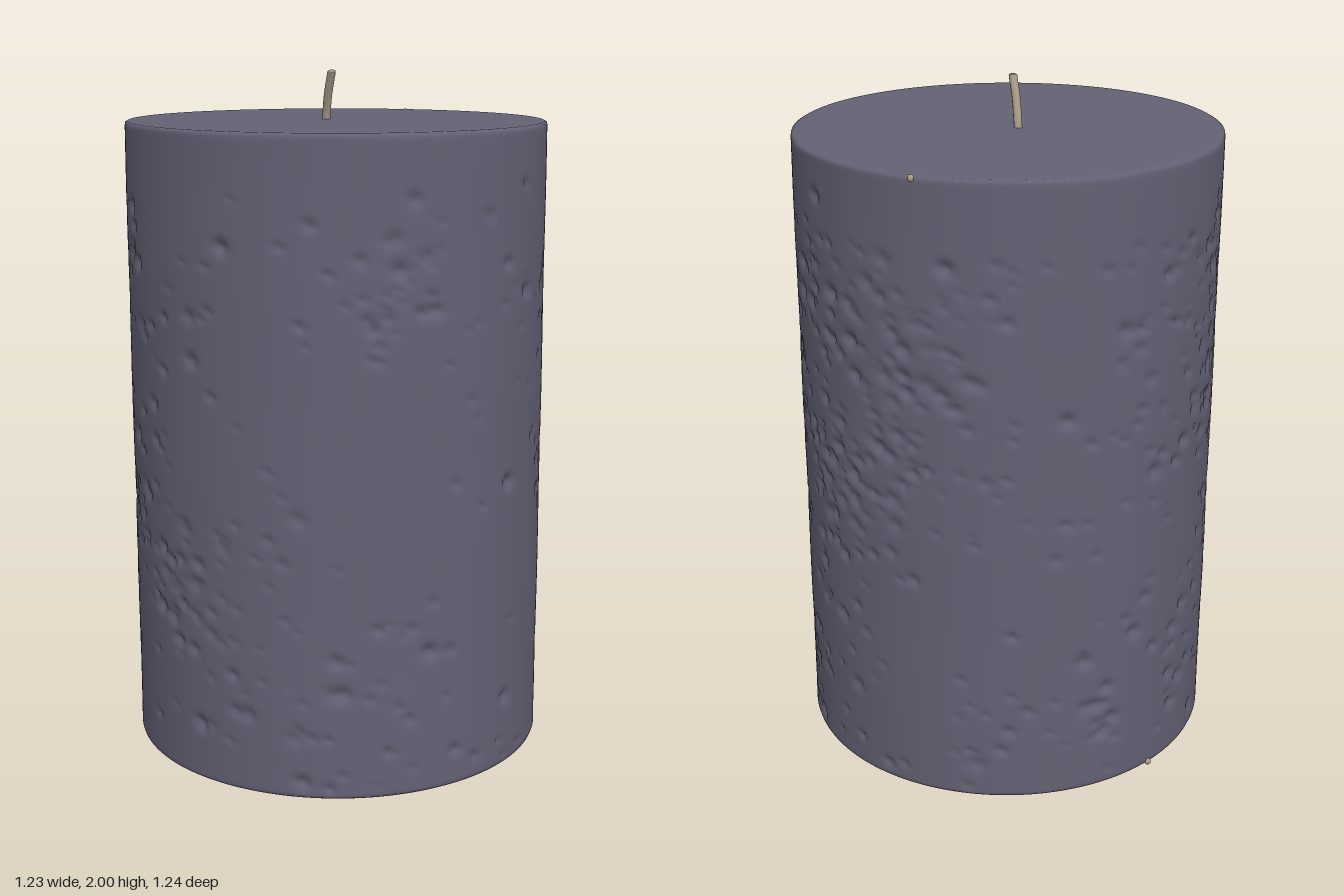
import * as THREE from 'three';
import { mergeVertices } from 'three/addons/utils/BufferGeometryUtils.js';

const R = 0.612, BOTTOM = 0.012, TOP = 1.857;

// Small seeded generator so that the pits always fall in the same places
function seeded(seed) {
  return () => {
    seed = (seed * 1664525 + 1013904223) % 4294967296;
    return seed / 4294967296;
  };
}

// Clusters of pits: [angle from the front, height, angular spread, height spread, count]
const CLUSTERS = [
  [0.62, 1.42, 0.16, 0.12, 30], [-0.7, 0.72, 0.3, 0.18, 60], [-0.15, 0.5, 0.2, 0.13, 28],
  [0.5, 0.3, 0.2, 0.16, 22], [-0.5, 1.35, 0.2, 0.15, 12], [-1.25, 1.45, 0.22, 0.16, 40],
  [-1.7, 1.3, 0.28, 0.22, 70], [-1.4, 0.6, 0.35, 0.25, 40], [2.15, 0.27, 0.3, 0.08, 25],
  [1.95, 0.95, 0.2, 0.14, 50], [2.75, 1.0, 0.28, 0.16, 90], [2.35, 1.45, 0.45, 0.13, 60],
  [3.1, 1.3, 0.25, 0.22, 60], [2.55, 0.65, 0.25, 0.12, 25], [-2.4, 0.25, 0.45, 0.1, 22],
];

function makePits() {
  const rnd = seeded(7);
  const bell = () => (rnd() + rnd() + rnd() - 1.5) * 2;
  const pits = [];
  const add = (a, y) => {
    const size = 0.011 + 0.014 * rnd() ** 2;
    pits.push({ a, y, size, depth: size * (0.35 + 0.4 * rnd()) });
  };
  for (const [a, y, da, dy, n] of CLUSTERS) {
    for (let i = 0; i < n; i++) add(a + bell() * da, y + bell() * dy);
  }
  for (let i = 0; i < 170; i++) add(rnd() * Math.PI * 2, 0.04 + 1.65 * rnd() ** 1.5);
  return pits.filter((p) => p.y > 0.03 && p.y < 1.75);
}

// Wax cylinder with rounded rims, a pitted wall and a slight lean
function waxGeometry() {
  const profile = [[0, BOTTOM], [R - 0.03, BOTTOM], [R - 0.009, BOTTOM], [R - 0.002, BOTTOM + 0.004]];
  const rows = 190;
  for (let i = 0; i <= rows; i++) {
    profile.push([R, BOTTOM + 0.012 + (TOP - BOTTOM - 0.024) * i / rows]);
  }
  profile.push([R - 0.002, TOP - 0.004], [R - 0.009, TOP], [R - 0.03, TOP], [0, TOP]);

  let geo = new THREE.LatheGeometry(profile.map(([x, y]) => new THREE.Vector2(x, y)), 256);
  geo.deleteAttribute('uv');
  geo.deleteAttribute('normal');
  geo = mergeVertices(geo, 1e-5);

  const pits = makePits();
  const pos = geo.attributes.position;
  for (let i = 0; i < pos.count; i++) {
    let x = pos.getX(i), z = pos.getZ(i);
    const y = pos.getY(i), r = Math.hypot(x, z);
    if (r > R - 0.001) {
      const a = Math.atan2(x, z);
      let dent = 0;
      for (const p of pits) {
        const dy = y - p.y;
        if (Math.abs(dy) > p.size * 2) continue;
        const da = a - p.a;
        const dx = Math.atan2(Math.sin(da), Math.cos(da)) * R;
        const d = (dx * dx + dy * dy) / (p.size * p.size);
        if (d < 4) dent = Math.max(dent, p.depth * Math.exp(-d * 1.4));
      }
      const wave = 0.0012 * Math.sin(a * 5 + y * 4) * Math.sin(y * 7 - a * 3);
      const k = (r - dent + wave) / r;
      x *= k;
      z *= k;
    }
    const lean = (y - 1) * 0.005;
    pos.setXYZ(i, x - lean, y, z - lean);
  }
  geo.computeVertexNormals();
  return geo;
}

export function createModel() {
  const wax = new THREE.MeshStandardMaterial({ name: 'greyPurpleWax', color: 0x646174 });
  const tan = new THREE.MeshStandardMaterial({ name: 'tan', color: 0xa99c88 });
  const olive = new THREE.MeshStandardMaterial({ name: 'yellowGreen', color: 0xa8a62a });

  const candle = new THREE.Group();
  candle.name = 'candle';
  const add = (name, geometry, material, x = 0, y = 0, z = 0) => {
    const mesh = new THREE.Mesh(geometry, material);
    mesh.name = name;
    mesh.position.set(x, y, z);
    candle.add(mesh);
    return mesh;
  };

  add('waxBody', waxGeometry(), wax);

  // Bent wick with a closed tip
  const curve = new THREE.CatmullRomCurve3([
    [-0.04, 1.84, -0.014], [-0.036, 1.875, -0.01], [-0.025, 1.93, 0.006], [-0.006, 1.995, 0.027],
  ].map((p) => new THREE.Vector3(...p)));
  add('wick', new THREE.TubeGeometry(curve, 16, 0.012, 10), tan);
  const tip = add('wickTip', new THREE.SphereGeometry(0.012, 10, 8), tan, -0.006, 1.994, 0.027);
  tip.scale.y = 0.5;

  // Paper disc and sticker underneath
  add('baseDisc', new THREE.CylinderGeometry(0.502, 0.502, 0.012, 96), tan, 0.008, 0.008, -0.008);
  const sticker = add('baseSticker', new THREE.BoxGeometry(0.15, 0.004, 0.375), olive, 0.123, 0.002, -0.123);
  sticker.rotation.y = -0.22;

  // Small flecks on the rims
  const fleck = new THREE.SphereGeometry(0.01, 8, 6);
  add('topFleck', fleck, tan, 0.01, TOP - 0.008, -0.612);
  add('bottomFleck', fleck, tan, -0.557, BOTTOM + 0.006, -0.24);

  return candle;
}
